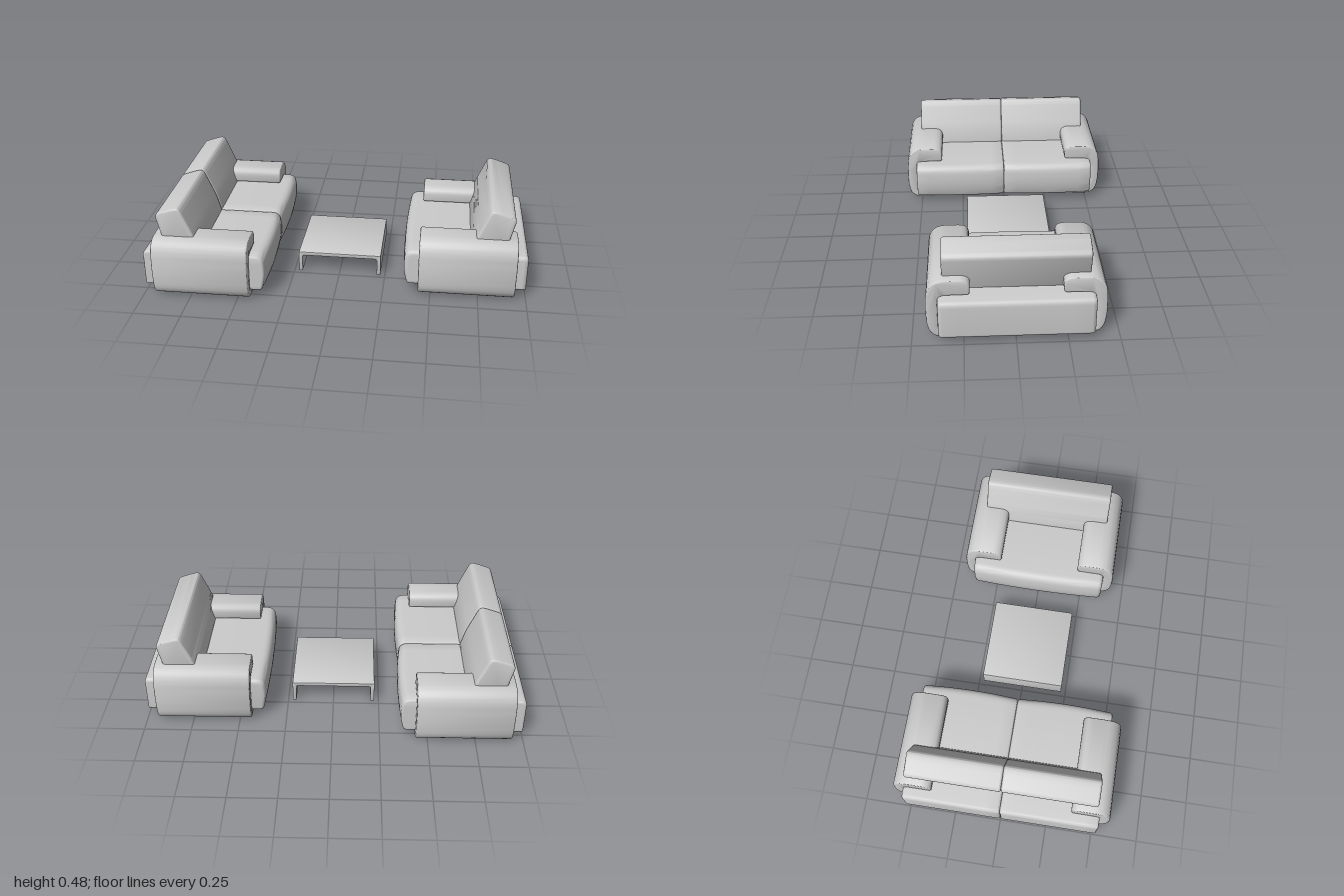
import * as THREE from 'three';
import { toCreasedNormals } from 'three/addons/utils/BufferGeometryUtils.js';

const material = new THREE.MeshStandardMaterial({ color: 0xcccccc });

function addMesh(parent, name, geometry) {
  const mesh = new THREE.Mesh(geometry, material);
  mesh.name = name;
  parent.add(mesh);
  return mesh;
}

// Closed outline from [x, y, cornerRadius] points
function roundedShape(points) {
  const shape = new THREE.Shape();
  points.forEach(([x, y, r], i) => {
    const corner = new THREE.Vector2(x, y);
    const toward = (p) => {
      const d = new THREE.Vector2(p[0], p[1]).sub(corner);
      return d.setLength(Math.min(r, d.length() * 0.49)).add(corner);
    };
    const a = toward(points[(i + points.length - 1) % points.length]);
    const b = toward(points[(i + 1) % points.length]);
    if (i === 0) shape.moveTo(a.x, a.y);
    else shape.lineTo(a.x, a.y);
    shape.quadraticCurveTo(x, y, b.x, b.y);
  });
  shape.closePath();
  return shape;
}

// Extrusion centred on z with softly rounded ends
function softExtrude(points, length, bevel, steps = 1) {
  const geometry = new THREE.ExtrudeGeometry(roundedShape(points), {
    depth: length - 2 * bevel, steps, curveSegments: 6,
    bevelEnabled: true, bevelThickness: bevel, bevelSize: bevel, bevelOffset: -bevel, bevelSegments: 4,
  });
  return geometry.translate(0, 0, bevel - length / 2);
}

// Pillow swelling: pushes the front (+x) outwards in the middle of the width
function swell(geometry, length, fromX, amount) {
  const p = geometry.attributes.position;
  for (let i = 0; i < p.count; i++) {
    const t = (2 * p.getZ(i)) / length;
    if (p.getX(i) > fromX) p.setX(i, p.getX(i) + amount * (1 - t * t));
  }
  return geometry;
}

// Seat facing +x with its rear at x = 0; halfWidth is half the seat block
function createSeating(name, halfWidth, modules) {
  const group = new THREE.Group();
  group.name = name;

  const seatProfile = [
    [0, 0.04, 0.012], [0.625, 0.04, 0.02], [0.645, 0.13, 0.06], [0.635, 0.24, 0.045], [0, 0.24, 0.03],
  ];
  const backProfile = [
    [0.125, 0.235, 0.01], [0.3, 0.235, 0.01], [0.272, 0.335, 0.03], [0.208, 0.483, 0.035],
    [0.178, 0.48, 0.02], [0.075, 0.445, 0.03],
  ];
  const seatWidth = (2 * halfWidth) / modules;
  const backWidth = (2 * (halfWidth - 0.022)) / modules;
  for (let i = 0; i < modules; i++) {
    const k = i - (modules - 1) / 2;
    const bevel = modules > 1 ? 0.012 : 0.02;
    const seat = swell(softExtrude(seatProfile, seatWidth, bevel, 8), seatWidth, 0.5, 0.011);
    addMesh(group, 'seatCushion', toCreasedNormals(seat, 0.6)).position.z = k * seatWidth;
    const back = softExtrude(backProfile, backWidth, 0.012);
    addMesh(group, 'backCushion', toCreasedNormals(back, 0.6)).position.z = k * backWidth;
  }

  for (const side of [-1, 1]) {
    // Hook-shaped arm wrapping over and under the seat block
    const w = halfWidth, o = halfWidth + 0.063;
    const armProfile = [
      [w - 0.1, 0, 0.01], [w + 0.045, 0, 0.075], [o, 0.15, 0.09], [w + 0.045, 0.326, 0.085],
      [w - 0.155, 0.326, 0.055], [w - 0.153, 0.242, 0.015], [w, 0.24, 0.04], [w, 0.04, 0.015], [w - 0.1, 0.04, 0.01],
    ].map(([u, y, r]) => [-side * u, y, r]);
    const arm = softExtrude(armProfile, 0.505, 0.01).rotateY(Math.PI / 2);
    addMesh(group, 'arm', toCreasedNormals(arm, 0.6)).position.x = 0.3125;

    // Pair of short feet joined by a rod
    const z = side * (halfWidth - 0.113);
    for (const dx of [-0.12, 0.12]) {
      addMesh(group, 'foot', new THREE.CylinderGeometry(0.011, 0.011, 0.038, 16)).position.set(0.3125 + dx, 0.021, z);
    }
    const rod = addMesh(group, 'footRod', new THREE.CylinderGeometry(0.005, 0.005, 0.24, 10));
    rod.rotation.z = Math.PI / 2;
    rod.position.set(0.3125, 0.025, z);
  }
  return group;
}

// Low table: one bent slab with two side panels
function createTable() {
  const h = 0.225, t = 0.02;
  const profile = [
    [-h, 0, 0.004], [-h + t, 0, 0.004], [-h + t, 0.096, 0.012], [h - t, 0.096, 0.012],
    [h - t, 0, 0.004], [h, 0, 0.004], [h, 0.116, 0.003], [-h, 0.116, 0.003],
  ];
  const group = new THREE.Group();
  group.name = 'coffeeTable';
  addMesh(group, 'tableSlab', toCreasedNormals(softExtrude(profile, 2 * h, 0.001), 0.6));
  return group;
}

export function createModel() {
  const model = new THREE.Group();
  model.name = 'loungeSet';

  const sofa = createSeating('sofa', 0.525, 2);
  sofa.position.x = -1;

  const armchair = createSeating('armchair', 0.375, 1);
  armchair.rotation.y = Math.PI;
  armchair.position.set(1, 0, -0.004);

  model.add(sofa, armchair, createTable());
  return model;
}
